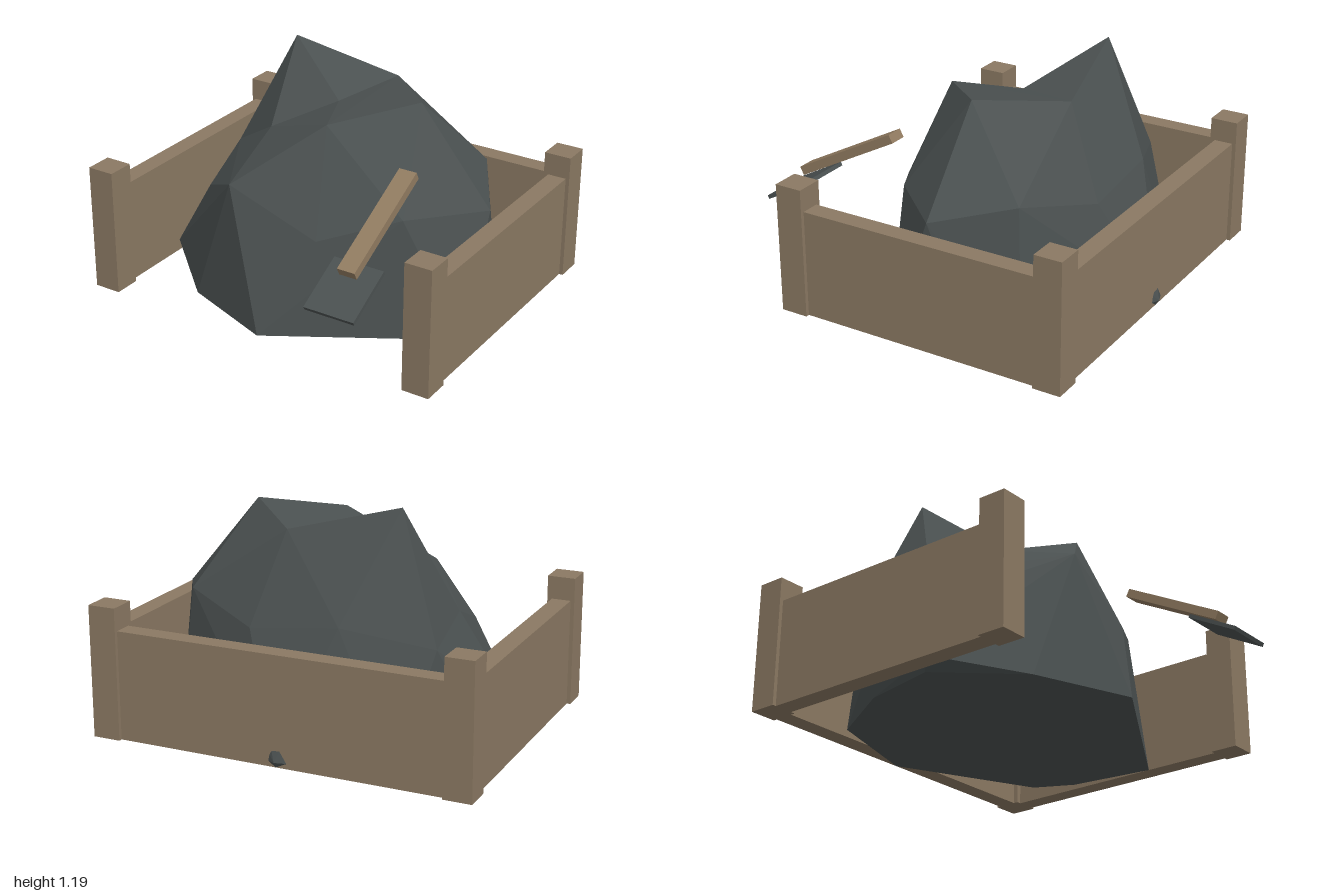
import * as THREE from 'three';
import { ConvexGeometry } from 'three/addons/geometries/ConvexGeometry.js';

function material(name, color) {
  const m = new THREE.MeshStandardMaterial({ color, flatShading: true });
  m.name = name;
  return m;
}

export function createModel() {
  const wood = material('wood', 0x8b7963);
  const handleWood = material('handle wood', 0x927c61);
  const coal = material('coal', 0x4b5151);
  const iron = material('iron', 0x4b5151);
  const group = new THREE.Group();
  group.name = 'coalBunker';

  const add = (name, geometry, mat, x = 0, y = 0, z = 0, tilt = 0) => {
    const mesh = new THREE.Mesh(geometry, mat);
    mesh.name = name;
    mesh.position.set(x, y, z);
    mesh.rotation.x = tilt;
    group.add(mesh);
  };
  const box = (name, mat, w, h, d, x, y, z, tilt) =>
    add(name, new THREE.BoxGeometry(w, h, d), mat, x, y, z, tilt);
  const rock = (name, points) =>
    add(name, new ConvexGeometry(points.map((p) => new THREE.Vector3(...p))), coal);

  // Corner posts and low side walls
  for (const [side, s] of [['right', -1], ['left', 1]]) {
    box(side + 'FrontPost', wood, 0.145, 0.68, 0.145, s * 0.9275, 0.34, 0.5825);
    box(side + 'BackPost', wood, 0.145, 0.68, 0.145, s * 0.9275, 0.34, -0.8475);
    box(side + 'Wall', wood, 0.1, 0.56, 1.29, s * 0.93, 0.28, -0.1325);
  }
  box('backWall', wood, 1.71, 0.56, 0.1, 0, 0.28, -0.85);

  // Shared crest corners
  const crestBack = [0.14, 1.05, -0.48];
  const crestMiddle = [0, 1.0, -0.13];
  const saddle = [-0.3, 0.85, 0.04];
  const rightShoulder = [-0.62, 0.64, -0.13];
  const backShoulder = [-0.66, 0.56, -0.52];
  const backBulge = [-0.23, 0.66, -0.69];

  // Heap body: foot, flanks and crest
  rock('coalHeap', [
    [0, 0, 0.62], [-0.51, 0, 0.43], [-0.88, 0.06, 0.1], [-0.84, 0, 0.06],
    [-0.8, 0.16, -0.34], [-0.76, 0, -0.34], [-0.54, 0, -0.73], [0, 0.03, -0.92],
    [0, 0, -0.9], [0.42, 0, -0.62], [0.72, 0, -0.55], [0.82, 0, -0.35],
    [0.88, 0, 0.1], [0.42, 0, 0.34],
    [-0.58, 0.51, 0.2], [-0.25, 0.71, 0.48], [0.22, 0.5, 0.42], [0.58, 0.62, 0.2],
    [0.88, 0.62, -0.13], [0.66, 0.7, -0.5], [0.24, 0.6, -0.69],
    rightShoulder, backShoulder, backBulge,
    [0.48, 1.1, -0.13], [0.14, 1.02, 0.2], crestBack, crestMiddle, saddle,
  ]);

  // Pointed peak rising from the crest
  rock('coalPeak', [
    [-0.42, 1.19, -0.38], crestBack, crestMiddle, saddle,
    rightShoulder, backShoulder, backBulge,
  ]);

  // Shovel resting against the heap
  box('shovelHandle', handleWood, 0.095, 0.045, 0.62, 0.615, 0.743, 0.488, 0.49);
  box('shovelBlade', iron, 0.27, 0.02, 0.3, 0.615, 0.522, 0.783, 0.5);

  return group;
}
